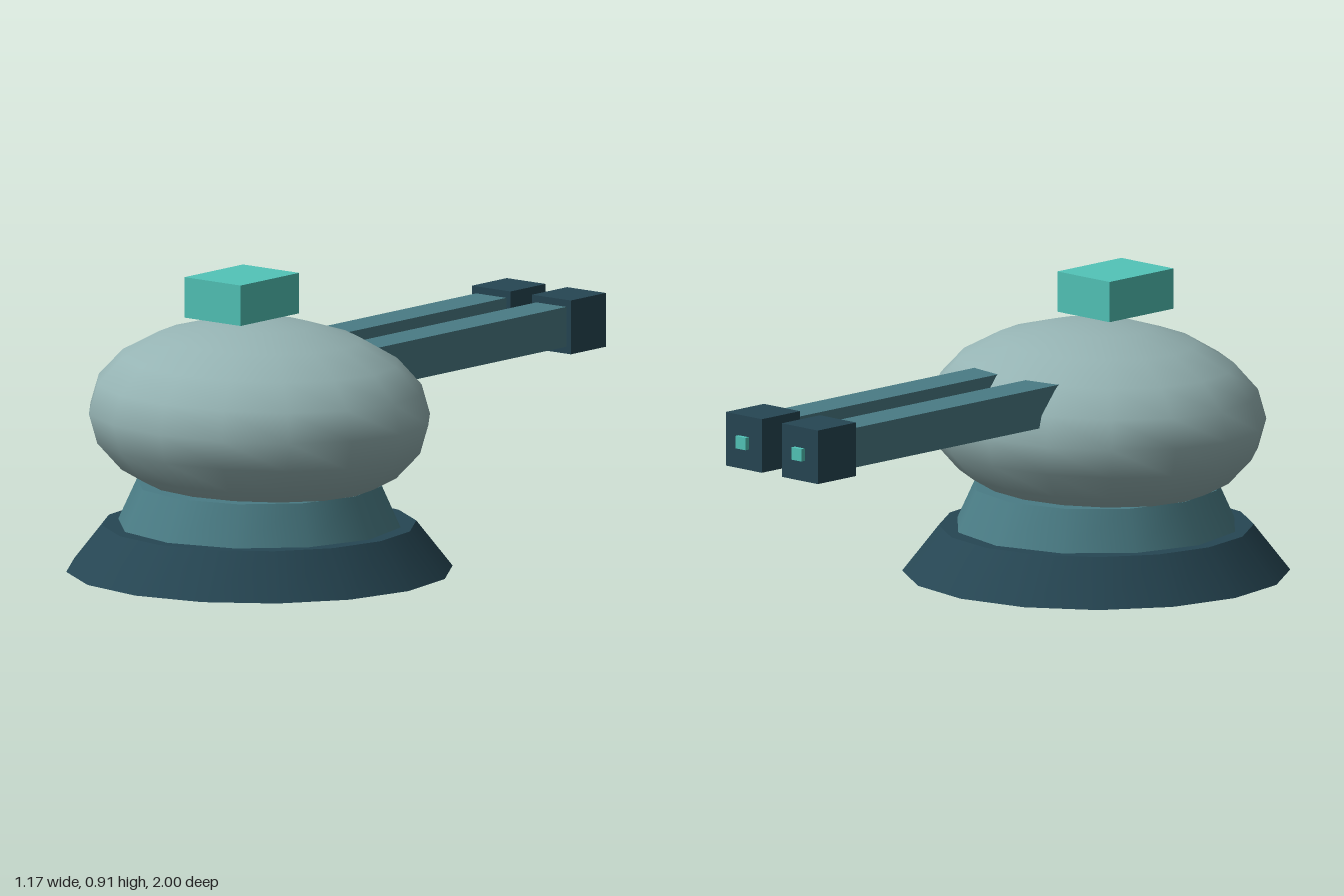
import * as THREE from 'three';

const material = (color) => new THREE.MeshStandardMaterial({ color });

export function createModel() {
  const model = new THREE.Group();
  const dark = material(0x264653);
  const steel = material(0x4a7c85);
  const pale = material(0x95b3b3);
  const teal = material(0x52c4b8);
  const centreZ = 0.415;

  const add = (name, geometry, mat, x, y, z, parent = model) => {
    const mesh = new THREE.Mesh(geometry, mat);
    mesh.name = name;
    mesh.position.set(x, y, z);
    parent.add(mesh);
    return mesh;
  };

  // Stepped, tapering pedestal
  add('base', new THREE.CylinderGeometry(0.475, 0.585, 0.14, 16), dark, 0, 0.07, centreZ);
  add('collar', new THREE.CylinderGeometry(0.375, 0.432, 0.125, 12), steel, 0, 0.2025, centreZ);

  // Flattened turret body
  const turret = new THREE.SphereGeometry(1, 16, 10);
  turret.scale(0.555, 0.29, 0.47);
  add('turret', turret, pale, 0, 0.475, centreZ);

  // Sensor block hovering above the turret
  add('sensor', new THREE.BoxGeometry(0.22, 0.124, 0.276), teal, 0, 0.85, 0.498);

  // Twin guns pointing backwards
  for (const [side, sign] of [['left', 1], ['right', -1]]) {
    const gun = new THREE.Group();
    gun.name = side + 'Gun';
    gun.position.set(sign * 0.118, 0.588, 0);
    model.add(gun);
    add('barrel', new THREE.BoxGeometry(0.118, 0.122, 0.97), steel, 0, 0, -0.355, gun);
    add('muzzle', new THREE.BoxGeometry(0.152, 0.165, 0.165), dark, 0, 0, -0.9025, gun);
    add('muzzleLight', new THREE.BoxGeometry(0.042, 0.038, 0.04), teal, 0, 0, -0.98, gun);
  }

  return model;
}
